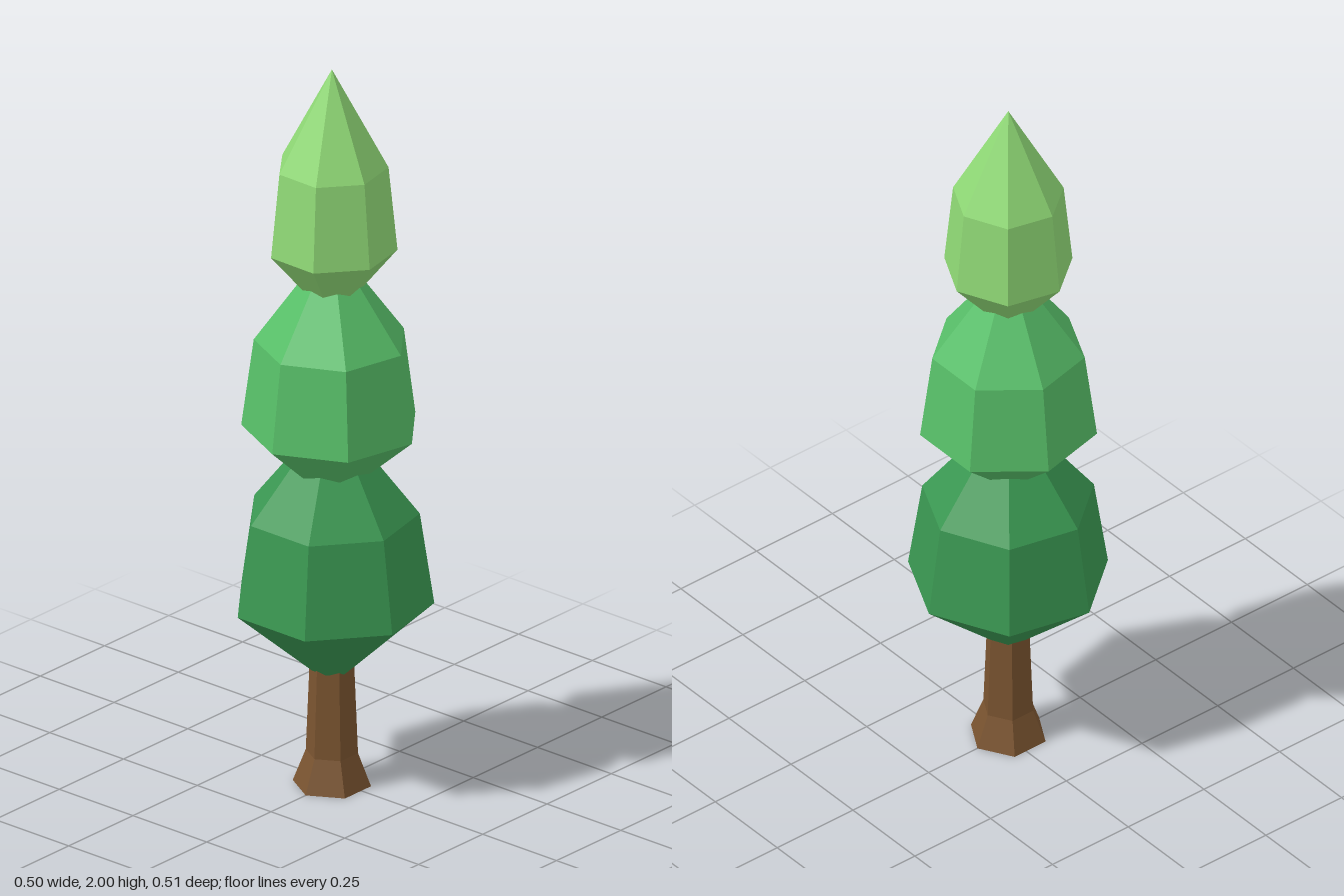
import * as THREE from 'three';

const paint = (name, color) => new THREE.MeshStandardMaterial({ name, color, flatShading: true });

// Faceted solid of revolution; profile runs bottom to top, turn is the angle of the first corner from +x
function faceted(name, material, sides, turn, profile) {
  const points = profile.map(([r, y]) => new THREE.Vector2(r, y));
  const geometry = new THREE.LatheGeometry(points, sides, Math.PI / 2 - turn).toNonIndexed();
  geometry.computeVertexNormals();
  const mesh = new THREE.Mesh(geometry, material);
  mesh.name = name;
  return mesh;
}

export function createModel() {
  const tree = new THREE.Group();
  tree.name = 'tree';

  // Six-sided trunk with a flared foot
  tree.add(faceted('trunk', paint('bark brown', 0x7a5430), 6, 0,
    [[0, 0], [0.102, 0], [0.068, 0.09], [0.058, 0.34], [0, 0.34]]));

  // Three seven-sided foliage tiers, darker towards the ground
  tree.add(faceted('lowerFoliage', paint('dark green', 0x3a9852), 7, 0,
    [[0, 0.325], [0.055, 0.325], [0.262, 0.51], [0.225, 0.76], [0.108, 0.91], [0, 0.91]]));
  tree.add(faceted('middleFoliage', paint('mid green', 0x58c069), 7, Math.PI,
    [[0, 0.89], [0.11, 0.89], [0.232, 1.0], [0.2, 1.24], [0.082, 1.405], [0, 1.405]]));
  tree.add(faceted('topFoliage', paint('light green', 0x90da76), 7, Math.PI / 180,
    [[0, 1.39], [0.077, 1.39], [0.168, 1.5], [0.145, 1.73], [0, 2]]));

  // The odd-sided tiers reach further to one side, so the axis sits slightly off centre
  tree.position.x = -0.013;
  const model = new THREE.Group();
  model.add(tree);
  return model;
}
